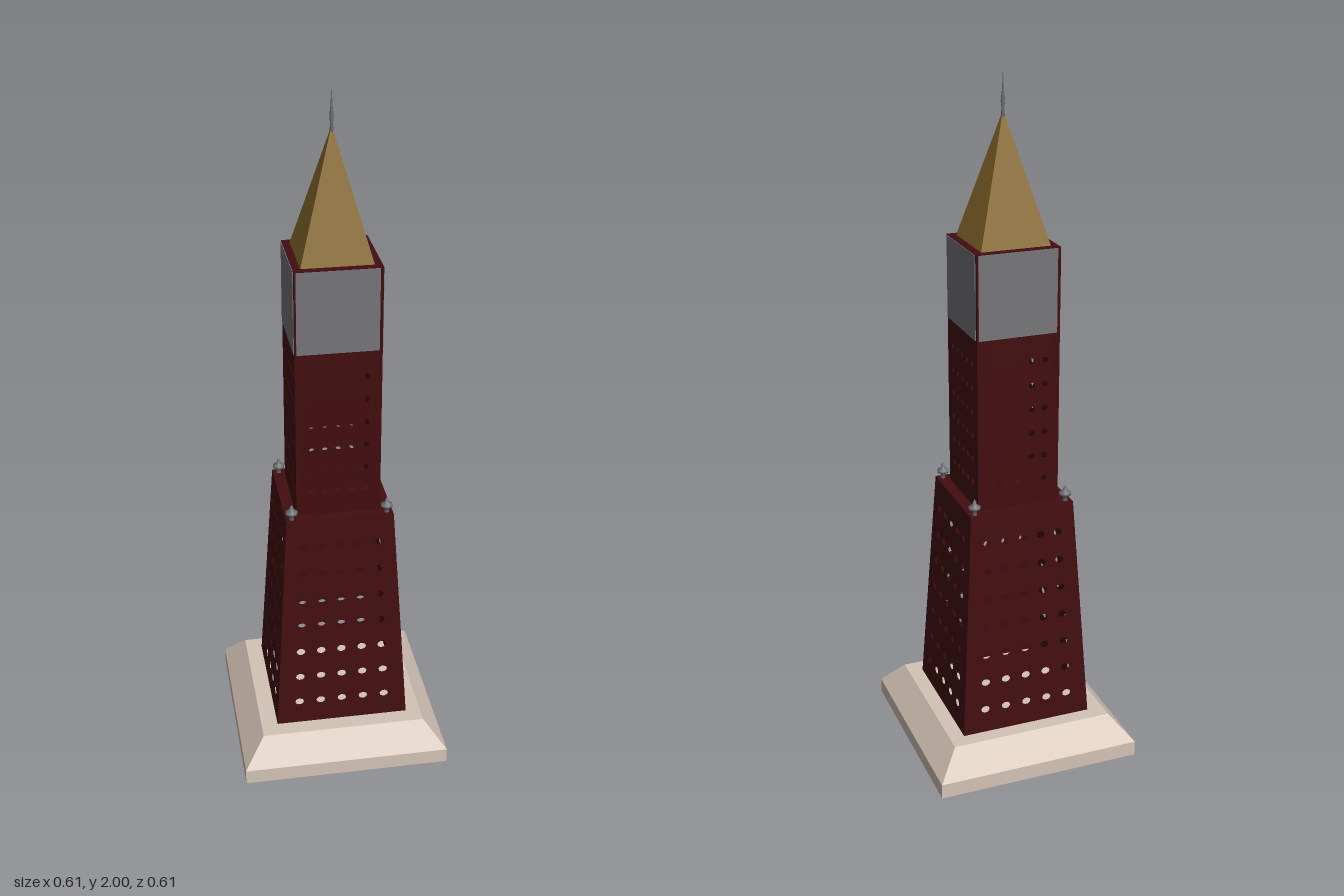
import * as THREE from 'three';

const brick = new THREE.MeshStandardMaterial({ color: 0x420d0f, side: THREE.DoubleSide });
brick.name = 'dark red brick';
const stone = new THREE.MeshStandardMaterial({ color: 0xd3c3b5 });
stone.name = 'pale stone';
const gold = new THREE.MeshStandardMaterial({ color: 0x8a6c2e });
gold.name = 'dull gold';
const glass = new THREE.MeshStandardMaterial({ color: 0x76767a });
glass.name = 'grey panel';
const metal = new THREE.MeshStandardMaterial({ color: 0x6c6f73 });
metal.name = 'grey metal';

function add(parent, name, geometry, material) {
  const mesh = new THREE.Mesh(geometry, material);
  mesh.name = name;
  parent.add(mesh);
  return mesh;
}

// Square block tapering from half width `bottom` at y0 to `top` at y1
function frustum(bottom, top, y0, y1) {
  const g = new THREE.CylinderGeometry(top * Math.SQRT2, bottom * Math.SQRT2, y1 - y0, 4)
    .rotateY(Math.PI / 4)
    .translate(0, (y0 + y1) / 2, 0)
    .toNonIndexed();
  g.computeVertexNormals();
  return g;
}

// One pierced wall, leaning inwards as its half width narrows
function wallGeometry({ y0, y1, bottom, top, rows, firstRow, step, span, rx, ry }) {
  const half = (y) => THREE.MathUtils.mapLinear(y, y0, y1, bottom, top);
  const shape = new THREE.Shape([
    new THREE.Vector2(-bottom, y0), new THREE.Vector2(bottom, y0),
    new THREE.Vector2(top, y1), new THREE.Vector2(-top, y1),
  ]);
  for (let r = 0; r < rows; r++) {
    const y = firstRow + r * step;
    for (let c = -2; c <= 2; c++) {
      const hole = new THREE.Path();
      hole.absellipse((c / 2) * span * half(y), y, rx, ry, 0, Math.PI * 2, true);
      shape.holes.push(hole);
    }
  }
  const g = new THREE.ShapeGeometry(shape, 5);
  const p = g.attributes.position;
  for (let i = 0; i < p.count; i++) p.setZ(i, half(p.getY(i)));
  g.computeVertexNormals();
  return g;
}

function pierced(name, spec) {
  const group = new THREE.Group();
  group.name = name;
  const g = wallGeometry(spec);
  for (let i = 0; i < 4; i++) add(group, name + 'Wall', g, brick).rotation.y = i * Math.PI / 2;
  const roof = new THREE.BoxGeometry(spec.top * 2, 0.004, spec.top * 2).translate(0, spec.y1 - 0.002, 0);
  add(group, name + 'Roof', roof, brick);
  return group;
}

const lathe = (points, segments) =>
  new THREE.LatheGeometry(points.map(([x, y]) => new THREE.Vector2(x, y)), segments);

export function createModel() {
  const model = new THREE.Group();
  model.name = 'clockTower';

  // Stone plinth with sloping shoulders
  add(model, 'plinthSlab', frustum(0.305, 0.305, 0, 0.045), stone);
  add(model, 'plinthSlope', frustum(0.305, 0.243, 0.045, 0.12), stone);

  // The tower stands very slightly off the plinth's centre
  const tower = new THREE.Group();
  tower.name = 'tower';
  tower.position.set(0.0025, 0, -0.0025);
  model.add(tower);

  tower.add(pierced('lowerTower', {
    y0: 0.12, y1: 0.8, bottom: 0.197, top: 0.155,
    rows: 7, firstRow: 0.193, step: 0.087, span: 0.667, rx: 0.013, ry: 0.0105,
  }));
  tower.add(pierced('upperTower', {
    y0: 0.8, y1: 1.543, bottom: 0.121, top: 0.121,
    rows: 6, firstRow: 0.873, step: 0.071, span: 0.645, rx: 0.009, ry: 0.0085,
  }));

  // Grey panels around the top storey
  const panel = new THREE.BoxGeometry(0.228, 0.238, 0.004).translate(-0.002, 1.422, 0.121);
  for (let i = 0; i < 4; i++) add(tower, 'topPanel', panel, glass).rotation.y = i * Math.PI / 2;

  // Pyramid roof and needle
  add(tower, 'spire', frustum(0.1, 0.003, 1.543, 1.885), gold);
  add(tower, 'needle', lathe([
    [0, 1.87], [0.006, 1.87], [0.004, 1.9], [0.006, 1.92], [0.003, 1.945], [0, 2],
  ], 10), metal);

  // Corner finials on the lower roof
  const finial = lathe([
    [0.007, 0.8], [0.006, 0.812], [0.017, 0.818], [0.017, 0.825],
    [0.006, 0.832], [0.005, 0.84], [0, 0.848],
  ], 16);
  for (const x of [-1, 1]) for (const z of [-1, 1]) {
    add(tower, 'cornerFinial', finial, metal).position.set(x * 0.1375, 0, z * 0.1375);
  }
  return model;
}
